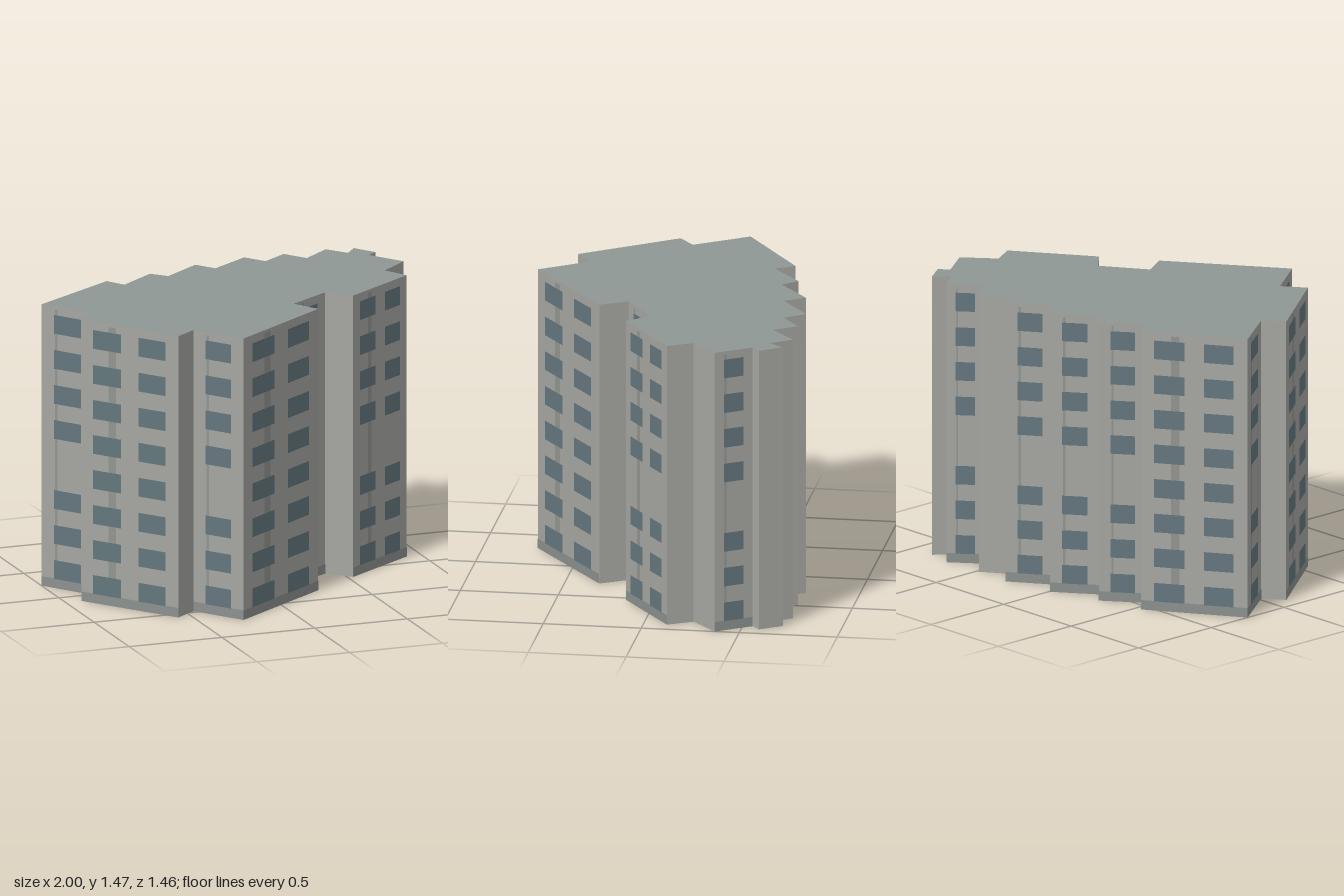
import * as THREE from 'three';
import { mergeGeometries } from 'three/addons/utils/BufferGeometryUtils.js';

const HEIGHT = 1.47;

// Plan corners (x, z), clockwise seen from above
const PLAN = [
  [-1, -0.25], [-0.535, -0.55], [-0.475, -0.455], [-0.28, -0.605], [-0.21, -0.53],
  [-0.005, -0.685], [0.065, -0.585], [0.275, -0.73], [0.35, -0.625], [0.485, -0.72],
  [0.565, -0.605], [0.715, -0.73], [0.795, -0.625], [0.855, -0.7], [0.93, -0.59],
  [0.88, -0.55], [1, -0.375], [0.85, -0.245], [0.92, -0.12], [0.53, 0.15],
  [0.42, 0.04], [0.195, 0.19], [0.275, 0.325], [-0.28, 0.725], [-0.455, 0.48],
  [-0.57, 0.565], [-0.915, 0.095], [-0.815, 0.015],
];

// Facade types: window and streak spans as fractions of the wall, from its left
const PAIR = [[0.12, 0.41], [0.59, 0.87]];
const SINGLE = [[0.24, 0.75]];
const WIDE = { windows: PAIR, streak: [0.28, 0.36], fullRows: true };
const TWIN = { windows: PAIR, streak: [0.27, 0.34], fullRows: false };
const NARROW = { windows: SINGLE, streak: [0.26, 0.31], fullRows: false };

// Facade type by the index of the wall's first corner; other walls are blank
const FACADES = {
  0: WIDE, 2: NARROW, 4: NARROW, 6: NARROW, 10: NARROW, 15: NARROW,
  18: TWIN, 20: NARROW, 22: WIDE, 23: NARROW, 25: WIDE, 27: NARROW,
};

const ROWS = 8;
const SKIPPED_ROW = 3;
const rowY = (row) => 0.097 + row * 0.183;

// Upright rectangle on wall i, spanning fractions t0..t1 and heights y0..y1
function wallPanel(i, t0, t1, y0, y1, offset) {
  const right = PLAN[i];
  const left = PLAN[(i + 1) % PLAN.length];
  const dx = right[0] - left[0];
  const dz = right[1] - left[1];
  const length = Math.hypot(dx, dz);
  const mid = (t0 + t1) / 2;
  const g = new THREE.PlaneGeometry(length * (t1 - t0), y1 - y0);
  g.rotateY(Math.atan2(-dz, dx));
  g.translate(
    left[0] + dx * mid - (dz / length) * offset,
    (y0 + y1) / 2,
    left[1] + dz * mid + (dx / length) * offset,
  );
  return g;
}

function addMesh(group, name, geometry, color, side = THREE.FrontSide) {
  const mesh = new THREE.Mesh(geometry, new THREE.MeshStandardMaterial({ color, side }));
  mesh.name = name;
  group.add(mesh);
}

export function createModel() {
  const building = new THREE.Group();
  building.name = 'apartmentBlock';

  // Outer walls, open underneath
  const walls = PLAN.map((_, i) => wallPanel(i, 0, 1, 0, HEIGHT, 0));
  addMesh(building, 'walls', mergeGeometries(walls), 0xa6a7a2, THREE.DoubleSide);

  // Flat roof
  const outline = new THREE.Shape(PLAN.map(([x, z]) => new THREE.Vector2(x, -z)));
  const roof = new THREE.ShapeGeometry(outline);
  roof.rotateX(-Math.PI / 2);
  roof.translate(0, HEIGHT, 0);
  addMesh(building, 'roof', roof, 0x8f9794, THREE.DoubleSide);

  // Windows, wall streaks and plinths on the facades
  const windows = [];
  const streaks = [];
  const plinths = [];
  for (const [key, facade] of Object.entries(FACADES)) {
    const i = Number(key);
    plinths.push(wallPanel(i, 0, 1, 0, 0.05, 0.001));
    streaks.push(wallPanel(i, ...facade.streak, 0.05, 1.455, 0.001));
    for (let row = 0; row < ROWS; row++) {
      if (row === SKIPPED_ROW && !facade.fullRows) continue;
      for (const [t0, t1] of facade.windows) {
        windows.push(wallPanel(i, t0, t1, rowY(row) - 0.049, rowY(row) + 0.049, 0.002));
      }
    }
  }
  addMesh(building, 'plinths', mergeGeometries(plinths), 0x8b908e);
  addMesh(building, 'wallStreaks', mergeGeometries(streaks), 0x939590);
  addMesh(building, 'windows', mergeGeometries(windows), 0x64777e);

  return building;
}
